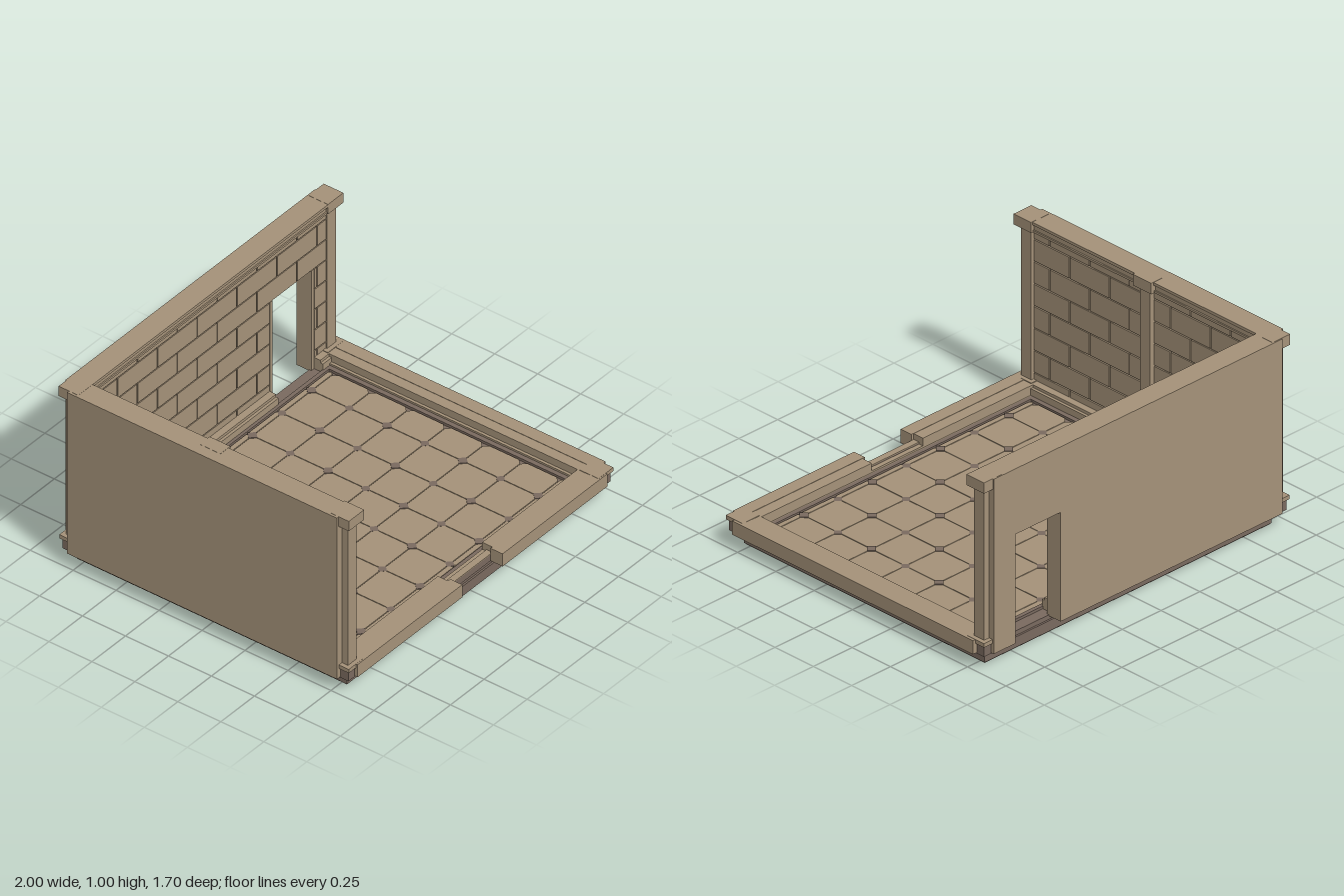
import * as THREE from 'three';

const stone = new THREE.MeshStandardMaterial({ color: 0xa59279 });
stone.name = 'tan stone';
const dark = new THREE.MeshStandardMaterial({ color: 0x7a6a5f });
dark.name = 'dark stone';

// Box given by its minimum and maximum on each axis
function box(parent, name, [x0, x1], [y0, y1], [z0, z1], mat = stone) {
  const m = new THREE.Mesh(new THREE.BoxGeometry(x1 - x0, y1 - y0, z1 - z0), mat);
  m.position.set((x0 + x1) / 2, (y0 + y1) / 2, (z0 + z1) / 2);
  m.name = name;
  parent.add(m);
  return m;
}

function group(parent, name) {
  const g = new THREE.Group();
  g.name = name;
  parent.add(g);
  return g;
}

// Running-bond bricks over a dark mortar plate; local x along the wall, facing +z
function brickPanel(parent, [u0, u1], [y0, y1], z, pitch, offset) {
  box(parent, 'mortar', [u0, u1], [y0, y1], [z, z + 0.008], dark);
  const rowH = 0.117, gap = 0.003;
  for (let r = 0; r < 8; r++) {
    const a = Math.max(y0, 0.07 + r * rowH), b = Math.min(y1, 0.07 + (r + 1) * rowH);
    if (b - a < 0.012) continue;
    const shift = offset + (r % 2 ? pitch / 2 : 0);
    for (let k = -6; k < 7; k++) {
      const l = Math.max(u0, shift + k * pitch), h = Math.min(u1, shift + (k + 1) * pitch);
      if (h - l < 0.012) continue;
      box(parent, 'brick', [l + gap, h - gap], [a + gap, b - gap], [z, z + 0.018]);
    }
  }
}

// Layered moulding along the top of a wall, and a skirting at its foot
function mouldings(parent, u0, u1, back) {
  box(parent, 'wallCoping', [u0, u1], [0.985, 1], [back, back + 0.12]);
  box(parent, 'cornice', [u0, u1], [0.955, 0.985], [back + 0.06, back + 0.108]);
  box(parent, 'corniceBead', [u0, u1], [0.943, 0.955], [back + 0.06, back + 0.115]);
}

function skirting(parent, u0, u1, back) {
  box(parent, 'skirting', [u0, u1], [0.08, 0.135], [back + 0.06, back + 0.14]);
  box(parent, 'skirtingCap', [u0, u1], [0.135, 0.15], [back + 0.06, back + 0.125]);
}

// Square post with foot and capital
function post(parent, name, x, z) {
  const g = group(parent, name);
  const r = (h) => [[x - h, x + h], [z - h, z + h]];
  const part = (n, h, y) => box(g, n, r(h)[0], y, r(h)[1]);
  part('shaft', 0.0325, [0.14, 0.95]);
  part('capital', 0.057, [0.945, 1.001]);
}

// Flat polygon in x and z, raised to a thin plate
function plate(parent, name, pts, y0, y1, mat) {
  const s = new THREE.Shape(pts.map(([x, z]) => new THREE.Vector2(x, -z)));
  const geo = new THREE.ExtrudeGeometry(s, { depth: y1 - y0, bevelEnabled: false });
  geo.rotateX(-Math.PI / 2);
  const m = new THREE.Mesh(geo, mat);
  m.position.y = y0;
  m.name = name;
  parent.add(m);
}

export function createModel() {
  const root = new THREE.Group();
  root.name = 'roomSet';

  // Stepped foundation
  const base = group(root, 'foundation');
  box(base, 'foundationFoot', [-0.918, 0.918], [0, 0.007], [-0.778, 0.778], dark);
  box(base, 'foundationSlab', [-0.925, 0.925], [0.007, 0.062], [-0.785, 0.785], dark);
  box(base, 'foundationNeck', [-0.915, 0.915], [0.062, 0.086], [-0.775, 0.775], dark);

  // Floor tiles with clipped corners
  const floor = group(root, 'floor');
  const inner = [-3, -2, -1, 0, 1, 2, 3].map((i) => i * 0.22);
  const xs = [-0.83, ...inner, 0.83], zs = [-0.69, ...inner, 0.69];
  for (let i = 0; i < 8; i++) {
    for (let j = 0; j < 8; j++) {
      const a = xs[i] + 0.002, b = xs[i + 1] - 0.002, c = zs[j] + 0.002, d = zs[j + 1] - 0.002;
      const k = Math.min(0.022, (d - c) * 0.4);
      plate(floor, 'floorTile', [[a + k, c], [b - k, c], [b, c + k], [b, d - k],
        [b - k, d], [a + k, d], [a, d - k], [a, c + k]], 0.085, 0.095, stone);
    }
  }
  // Diamond insets, every second one raised
  inner.forEach((x, i) => inner.forEach((z, j) => {
    const raised = (i + j) % 2 === 0, r = raised ? 0.029 : 0.026;
    plate(floor, 'diamondInset', [[x - r, z], [x, z - r], [x + r, z], [x, z + r]],
      0.09, raised ? 0.099 : 0.0955, dark);
  }));
  // Border around the tiles
  for (const s of [-1, 1]) {
    const side = (a, b) => (s > 0 ? [a, b] : [-b, -a]);
    box(floor, 'floorBorder', side(0.835, 0.862), [0.08, 0.1], [-0.715, 0.715], dark);
    box(floor, 'floorBorder', [-0.835, 0.835], [0.08, 0.1], side(0.694, 0.715), dark);
    box(floor, 'floorEdge', side(0.86, 0.92), [0.08, 0.11], [-0.78, 0.78]);
    if (s > 0) box(floor, 'floorEdge', [-0.86, 0.86], [0.08, 0.1], [0.715, 0.74]);
  }
  box(floor, 'raisedPlatform', [-0.775, -0.31], [0.09, 0.145], [-0.61, -0.15]);

  // Back wall with a doorway
  const back = group(root, 'backWall');
  const s = new THREE.Shape([[-0.93, 0.08], [0.5, 0.08], [0.5, 0.655], [0.79, 0.655],
    [0.79, 0.08], [0.93, 0.08], [0.93, 1], [-0.93, 1]].map((p) => new THREE.Vector2(...p)));
  const wall = new THREE.Mesh(new THREE.ExtrudeGeometry(s, { depth: 0.07, bevelEnabled: false }), stone);
  wall.position.z = -0.85;
  wall.name = 'backWallPanel';
  back.add(wall);
  brickPanel(back, [-0.9, 0.48], [0.08, 0.655], -0.78, 0.297, -0.06);
  brickPanel(back, [0.81, 0.9], [0.08, 0.655], -0.78, 0.297, -0.06);
  brickPanel(back, [-0.9, 0.9], [0.655, 0.945], -0.78, 0.297, -0.06);
  box(back, 'doorJamb', [0.48, 0.5], [0.08, 0.655], [-0.8, -0.762]);
  box(back, 'doorJamb', [0.79, 0.81], [0.08, 0.655], [-0.8, -0.762]);
  mouldings(back, -0.93, 0.93, -0.85);
  skirting(back, -0.9, 0.48, -0.85);
  skirting(back, 0.81, 0.9, -0.85);

  // Right-hand wall in the front view, built facing +z and turned a quarter
  const side = group(root, 'sideWall');
  side.rotation.y = Math.PI / 2;
  box(side, 'sideWallPanel', [-0.785, 0.785], [0.08, 1], [-1, -0.93]);
  brickPanel(side, [-0.755, -0.03], [0.08, 0.945], -0.93, 0.26, -0.52);
  brickPanel(side, [0.03, 0.755], [0.08, 0.945], -0.93, 0.26, 0.14);
  mouldings(side, -0.785, 0.785, -1);
  skirting(side, -0.755, 0.755, -1);
  box(side, 'middlePilaster', [-0.0325, 0.0325], [0.08, 0.95], [-0.94, -0.885]);
  box(side, 'pilasterCapital', [-0.06, 0.06], [0.943, 1.001], [-0.94, -0.866]);
  box(side, 'pilasterFoot', [-0.05, 0.05], [0.08, 0.155], [-0.94, -0.855]);

  // Corner posts and feet
  post(root, 'frontPost', -0.93, 0.787);
  post(root, 'cornerPost', -0.93, -0.787);
  post(root, 'doorSidePost', 0.93, -0.787);
  for (const x of [-0.93, 0.93]) {
    for (const z of [-0.787, 0.787]) {
      box(root, 'cornerBlock', [x - 0.045, x + 0.045], [0.075, 0.132], [z - 0.045, z + 0.045], dark);
      box(root, 'cornerBlockCap', [x - 0.055, x + 0.055], [0.132, 0.153], [z - 0.055, z + 0.055]);
    }
  }

  // Low kerbs on the open sides, with an entry gap at the front
  const kerb = group(root, 'kerbs');
  box(kerb, 'sideKerb', [0.93, 1], [0.08, 0.152], [-0.785, 0.785]);
  box(kerb, 'sideKerbInner', [0.875, 0.93], [0.08, 0.15], [-0.785, 0.785]);
  for (const e of [-1, 1]) {
    const span = (a, b) => (e > 0 ? [a, b] : [-b, -a]);
    box(kerb, 'frontKerb', span(0.15, 0.93), [0.08, 0.152], [0.78, 0.85]);
    box(kerb, 'frontKerbInner', span(0.165, 0.875), [0.08, 0.15], [0.72, 0.78]);
  }
  box(kerb, 'entrySillFront', [-0.165, 0.165], [0.08, 0.115], [0.745, 0.78], dark);
  box(kerb, 'entrySill', [-0.165, 0.165], [0.115, 0.12], [0.745, 0.78]);
  box(kerb, 'entryStep', [-0.165, 0.165], [0.08, 0.11], [0.72, 0.745]);

  return root;
}
